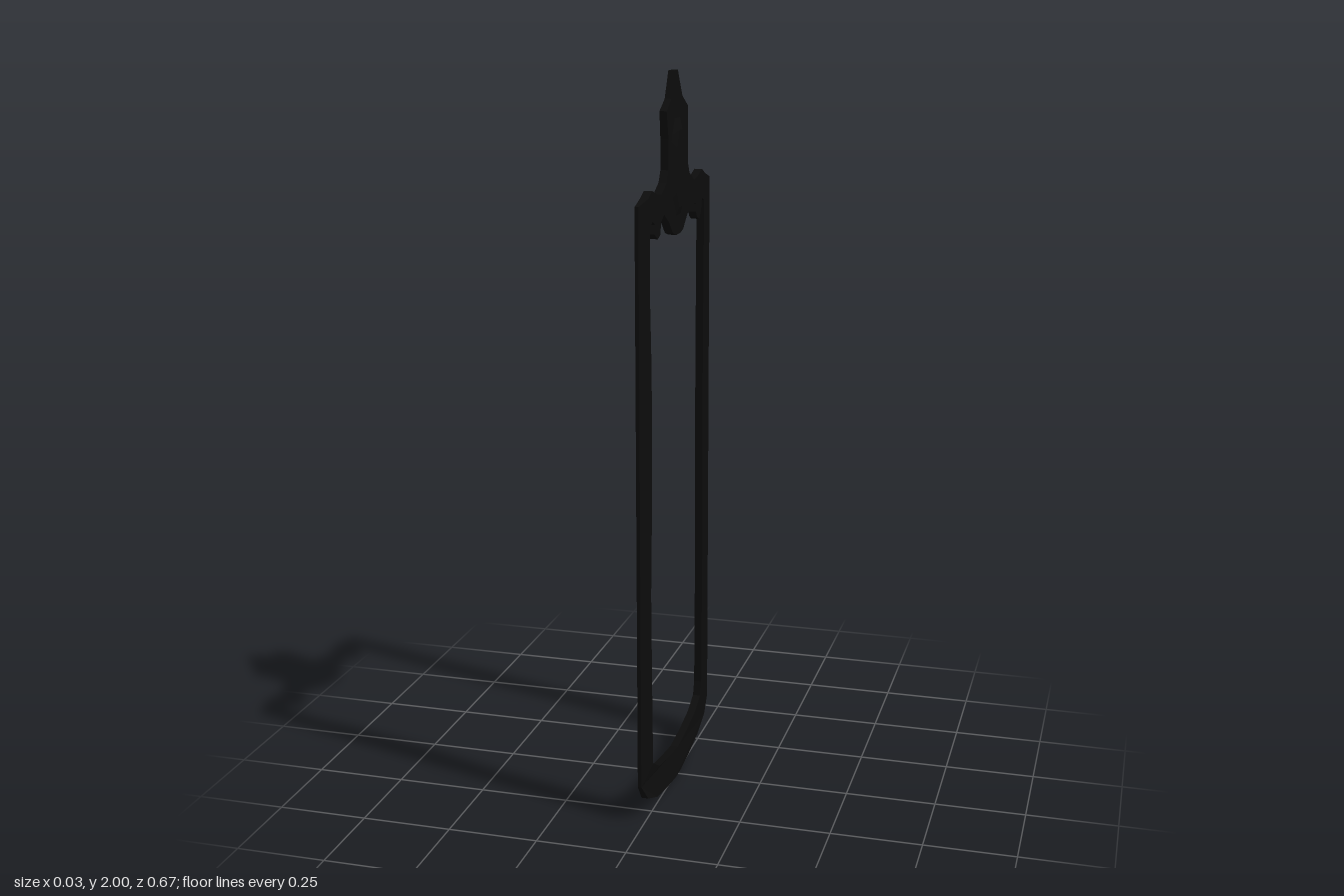
import * as THREE from 'three';

const BACK = -0.015, FRONT = 0.007;

// Extrude a flat outline (s = -z, y) between two x positions
function slab(shape, x0, x1) {
  const g = new THREE.ExtrudeGeometry(shape, { depth: x1 - x0, bevelEnabled: false });
  g.rotateY(Math.PI / 2);
  g.translate(x0, 0, 0);
  return g;
}

// Move the vertices of the face nearest +x by a rule
function shapeFace(g, x1, rule) {
  const p = g.attributes.position, v = new THREE.Vector3();
  for (let i = 0; i < p.count; i++) {
    v.fromBufferAttribute(p, i);
    if (v.x < x1 - 1e-4) continue;
    rule(v);
    p.setXYZ(i, v.x, v.y, v.z);
  }
  g.computeVertexNormals();
  return g;
}

const points = list => list.map(([s, y]) => new THREE.Vector2(s, y));

// Half outline mirrored into a closed one
const mirrored = half => points([...half, ...half.slice().reverse().map(([s, y]) => [-s, y])]);

export function createModel() {
  const model = new THREE.Group();
  const black = new THREE.MeshStandardMaterial({ color: 0x0c0c0c, flatShading: true });
  const add = (name, geometry) => {
    const mesh = new THREE.Mesh(geometry, black);
    mesh.name = name;
    model.add(mesh);
  };

  // Frame with its crest: outer edge from the tip down to the curved foot
  const frame = new THREE.Shape(mirrored([
    [0.02, 2], [0.055, 1.93], [0.105, 1.902], [0.097, 1.83], [0.097, 1.75],
    [0.115, 1.72], [0.165, 1.695], [0.2, 1.7], [0.25, 1.715], [0.285, 1.7], [0.335, 1.685],
    [0.335, 0.11], [0.3, 0.062], [0.22, 0.03], [0.12, 0.012], [0.03, 0.005],
  ].map(([s, y]) => [s, y === 0.005 ? 0 : y])));

  // Opening: slightly uneven posts, with a pendant and two knobs along the top
  frame.holes.push(new THREE.Path(points([
    [0, 0.085], [0.1, 0.096], [0.19, 0.113], [0.25, 0.14], [0.263, 0.18],
    [0.266, 0.4], [0.27, 0.6], [0.265, 1], [0.27, 1.4], [0.275, 1.625], [0.25, 1.635],
    [0.24, 1.6], [0.22, 1.58], [0.195, 1.59], [0.185, 1.605], [0.195, 1.625], [0.165, 1.63],
    [0.13, 1.617], [0.095, 1.613], [0.05, 1.577], [0.02, 1.57],
    [-0.02, 1.57], [-0.055, 1.58], [-0.095, 1.615], [-0.14, 1.64], [-0.168, 1.625],
    [-0.178, 1.592], [-0.2, 1.585], [-0.232, 1.602], [-0.222, 1.625], [-0.25, 1.637],
    [-0.272, 1.62], [-0.275, 1.45], [-0.262, 1.25], [-0.26, 0.95], [-0.274, 0.64],
    [-0.266, 0.3], [-0.26, 0.15], [-0.235, 0.135], [-0.19, 0.11], [-0.1, 0.097],
  ])));
  add('frame', shapeFace(slab(frame, BACK, FRONT), FRONT, v => {
    if (v.z > 0.29) v.x -= 0.012 * (v.z - 0.29) / 0.045; // sloped outer edge of one post
    if (v.y > 1.84) v.x -= 0.007 * (v.y - 1.84) / 0.16;  // crest thins towards its tip
  }));

  // Raised boss on the crest
  const boss = new THREE.Shape(mirrored([[0.03, 1.89], [0.075, 1.83], [0.075, 1.66], [0.03, 1.6]]));
  add('crestBoss', shapeFace(slab(boss, 0, 0.014), 0.014, v => {
    v.z *= 0.5;
    v.y = 1.745 + (v.y - 1.745) * 0.7;
  }));

  return model;
}
